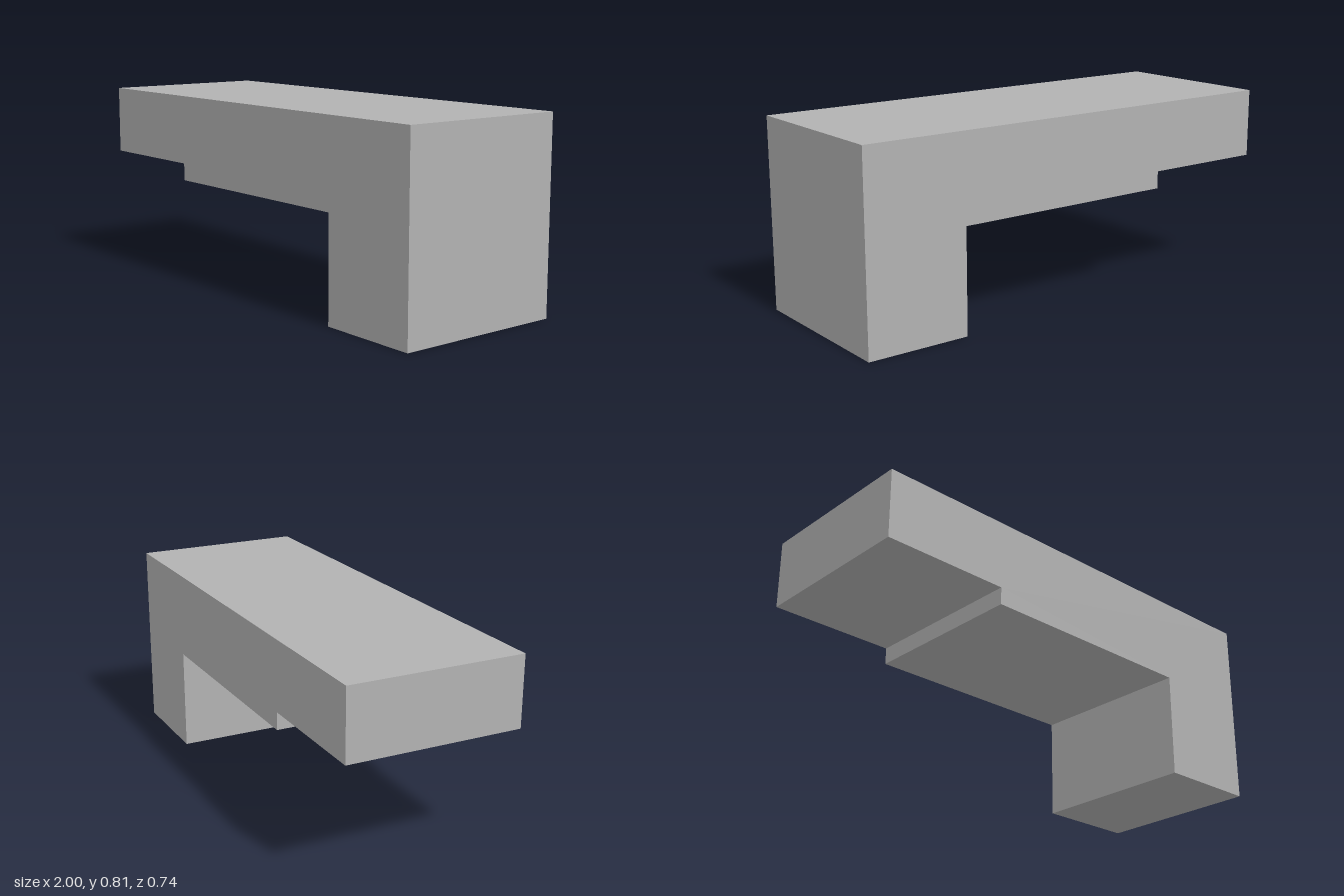
import * as THREE from 'three';

export function createModel() {
  const model = new THREE.Group();
  const grey = new THREE.MeshStandardMaterial({ color: 0xb2b2b2 });
  grey.name = 'grey';

  // Side profile in whole units: stepped overhang on the right, full-height leg on the left
  const unit = 2 / 27;
  const profile = [
    [0, 7], [7.5, 7], [7.5, 6], [21, 6], [21, 0], [27, 0], [27, 11], [0, 11],
  ].map(([x, y]) => new THREE.Vector2((x - 13.5) * unit, y * unit));

  const depth = 10 * unit;
  const geometry = new THREE.ExtrudeGeometry(new THREE.Shape(profile), { depth, bevelEnabled: false });
  geometry.translate(0, 0, -depth / 2);

  const block = new THREE.Mesh(geometry, grey);
  block.name = 'steppedBlock';
  model.add(block);
  return model;
}
